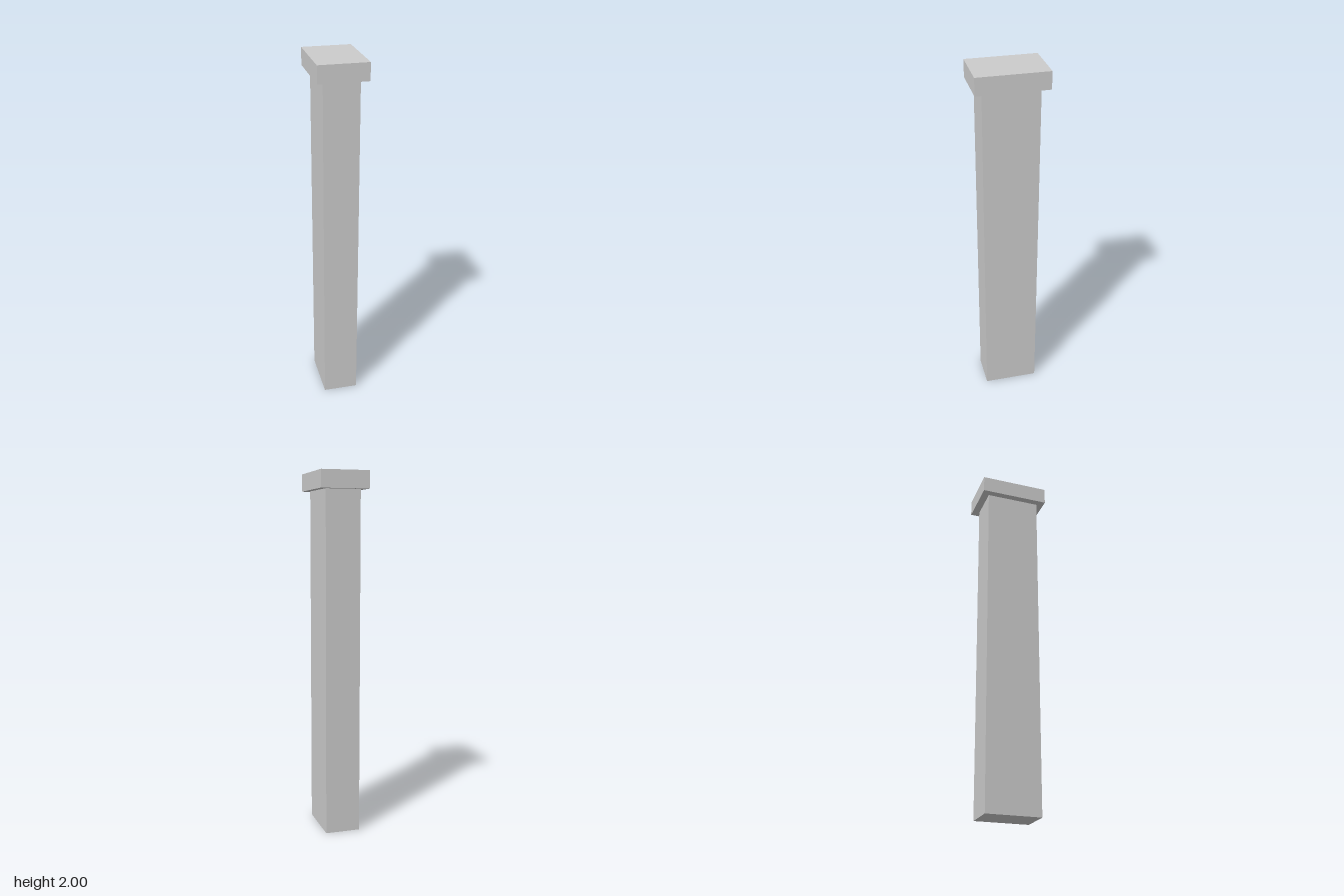
import * as THREE from 'three';

const material = new THREE.MeshStandardMaterial({ color: 0xcccccc, flatShading: true });

// Box centred on the y axis, spanning from bottom to top
function block(name, width, depth, bottom, top) {
  const mesh = new THREE.Mesh(new THREE.BoxGeometry(width, top - bottom, depth), material);
  mesh.position.y = (bottom + top) / 2;
  mesh.name = name;
  return mesh;
}

export function createModel() {
  const pillar = new THREE.Group();
  pillar.name = 'pillar';

  const capBottom = 1.905;
  pillar.add(
    block('shaft', 0.195, 0.305, 0, capBottom),
    block('cap', 0.27, 0.388, capBottom, 2), // overhangs the shaft on all sides
  );
  return pillar;
}
